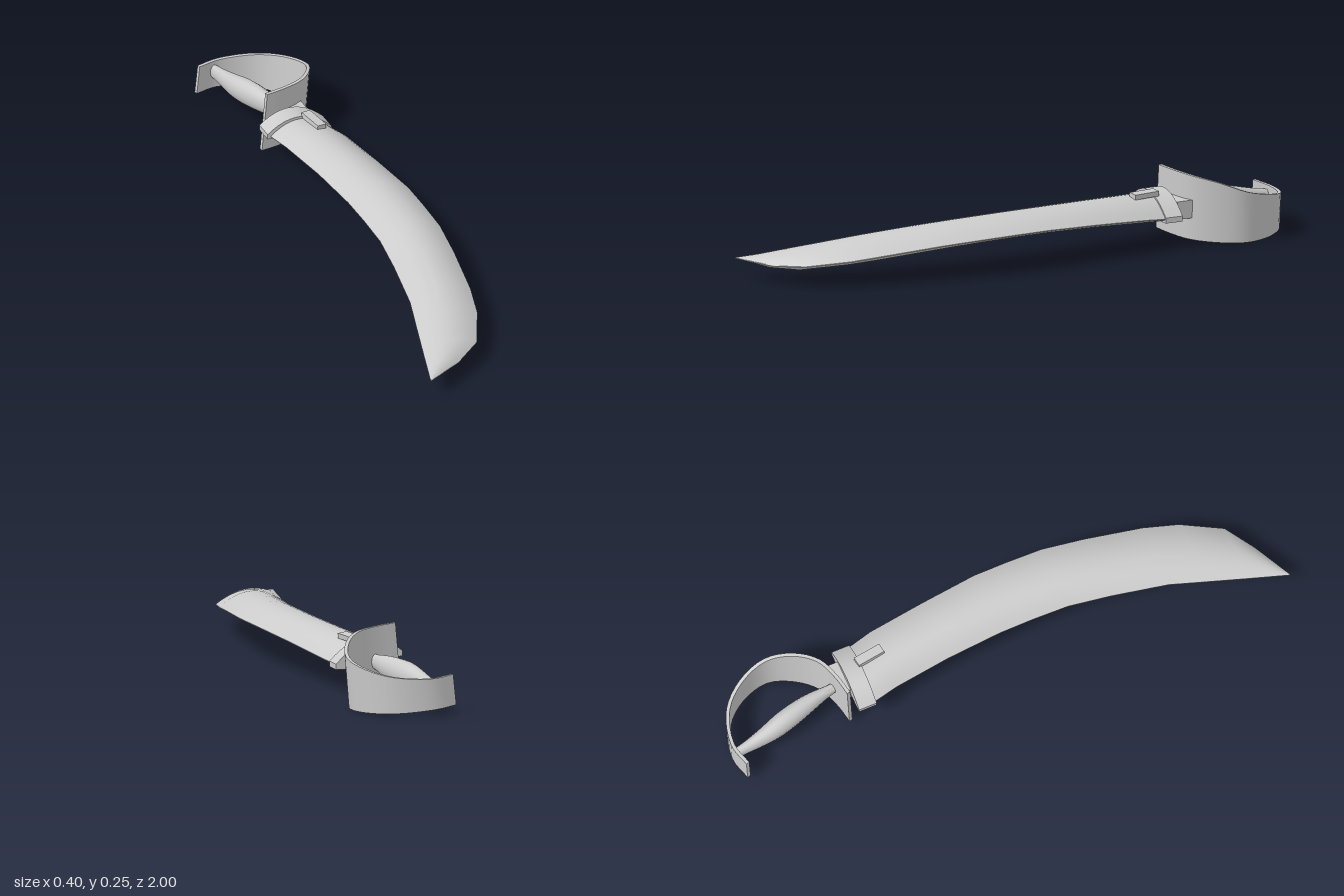
import * as THREE from 'three';
import { toCreasedNormals } from 'three/addons/utils/BufferGeometryUtils.js';

const material = new THREE.MeshStandardMaterial({ color: 0xcccccc, side: THREE.DoubleSide });

// Skin a row of closed cross-sections, with strip caps at both ends
function loft(rings, crease = 0.6) {
  const n = rings[0].length, last = (rings.length - 1) * n, index = [];
  for (let i = 0; i < rings.length - 1; i++) {
    for (let j = 0; j < n; j++) {
      const a = i * n + j, b = i * n + (j + 1) % n;
      index.push(a, b, b + n, a, b + n, a + n);
    }
  }
  for (let k = 0; k < n / 2 - 1; k++) {
    const [a, b, c, d] = [k, k + 1, n - 2 - k, n - 1 - k];
    index.push(a, c, b, a, d, c);
    index.push(last + a, last + b, last + c, last + a, last + c, last + d);
  }
  const geometry = new THREE.BufferGeometry();
  geometry.setAttribute('position', new THREE.Float32BufferAttribute(rings.flat(2), 3));
  geometry.setIndex(index);
  return toCreasedNormals(geometry, crease);
}

// Lens section at z: left edge, right edge, crown height, belly depth, edge thickness.
// The belly is deepest toward the right edge.
function lensRing(z, lx, ly, rx, ry, crown, sag, edge, steps = 12) {
  const rise = crown - (ly + ry) / 2, bottom = [], top = [];
  for (let i = 0; i <= steps; i++) {
    const s = i / steps;
    const x = lx + (rx - lx) * s;
    const chord = ly + (ry - ly) * s;
    bottom.push([x, chord - sag * Math.sin(Math.PI * s ** 2.5) - edge, z]);
    top.unshift([x, chord + rise * 4 * s * (1 - s), z]);
  }
  return [...bottom, ...top];
}

function add(group, name, geometry) {
  const mesh = new THREE.Mesh(geometry, material);
  mesh.name = name;
  group.add(mesh);
  return mesh;
}

export function createModel() {
  const group = new THREE.Group();
  group.name = 'curvedSabre';

  // Blade stations: z, left x, left y, right x, right y, crown y, belly depth
  const stations = [
    [-0.55, -0.09, 0.136, 0.13, 0.105, 0.174, 0.016],
    [-0.48, -0.088, 0.137, 0.137, 0.11, 0.177, 0.018],
    [-0.4, -0.07, 0.138, 0.155, 0.119, 0.181, 0.02],
    [-0.2, -0.045, 0.143, 0.178, 0.131, 0.187, 0.018],
    [0, -0.03, 0.145, 0.198, 0.139, 0.19, 0.018],
    [0.12, -0.028, 0.143, 0.199, 0.138, 0.189, 0.018],
    [0.25, -0.03, 0.14, 0.197, 0.135, 0.186, 0.019],
    [0.4, -0.05, 0.132, 0.177, 0.126, 0.176, 0.022],
    [0.6, -0.085, 0.119, 0.143, 0.108, 0.156, 0.024],
    [0.72, -0.12, 0.106, 0.111, 0.094, 0.138, 0.022],
    [0.86, -0.16, 0.09, 0.042, 0.078, 0.113, 0.02],
    [0.93, -0.18, 0.083, -0.06, 0.069, 0.092, 0.012],
    [1, -0.2, 0.076, -0.196, 0.076, 0.077, 0],
  ];
  add(group, 'blade', loft(stations.map((s) => lensRing(...s, 0.002))));

  // Collar wrapped over the blade root
  add(group, 'collar', loft([-0.55, -0.485].map(
    (z) => lensRing(z, -0.1, 0.147, 0.14, 0.114, 0.186, 0.006, 0.019))));

  // Small tab lying along the blade in front of the collar
  const tab = add(group, 'collarTab', new THREE.BoxGeometry(0.034, 0.018, 0.1));
  tab.position.set(0.055, 0.184, -0.447);
  tab.rotation.set(0, 0.14, -0.1);

  // Tang block between collar and guard, its rear following the guard
  const tangShape = new THREE.Shape([[-0.03, 0.54], [0.083, 0.54], [0.083, 0.618], [-0.03, 0.58]]
    .map(([x, y]) => new THREE.Vector2(x, y)));
  const tang = add(group, 'tang', new THREE.ExtrudeGeometry(tangShape, { depth: 0.064, bevelEnabled: false })
    .rotateX(-Math.PI / 2));
  tang.position.set(0, 0.094, 0);
  tang.rotation.z = -0.08;

  // Knuckle guard: x and z at the lower edge, height of the upper edge
  const path = [
    [-0.083, -0.573, 0.25], [-0.01, -0.588, 0.245], [0.07, -0.62, 0.236],
    [0.133, -0.69, 0.215], [0.166, -0.78, 0.18], [0.138, -0.88, 0.155],
    [0.068, -0.958, 0.137], [-0.05, -0.992, 0.131], [-0.137, -0.972, 0.138],
  ];
  const low = new THREE.CatmullRomCurve3(path.map(([x, z]) => new THREE.Vector3(x, 0.018 - 0.1 * x, z)));
  const high = new THREE.CatmullRomCurve3(path.map(([x, z, y]) => new THREE.Vector3(x + 0.08 * y, y, z)));
  const up = new THREE.Vector3(0, 1, 0), rings = [];
  for (let i = 0; i <= 32; i++) {
    const t = i / 32;
    const out = low.getTangent(t).setY(0).normalize().cross(up).multiplyScalar(0.006);
    const a = low.getPoint(t), b = high.getPoint(t);
    rings.push([
      a.clone().sub(out).toArray(), b.clone().sub(out).toArray(),
      b.clone().add(out).toArray(), a.clone().add(out).toArray(),
    ]);
  }
  add(group, 'knuckleGuard', loft(rings));

  // Grip: swollen, slightly bowed spindle, taller than wide
  const spine = new THREE.CatmullRomCurve3([
    new THREE.Vector3(0.016, 0.124, -0.595), new THREE.Vector3(0.002, 0.119, -0.68),
    new THREE.Vector3(-0.024, 0.11, -0.79), new THREE.Vector3(-0.045, 0.1, -0.88),
    new THREE.Vector3(-0.062, 0.09, -0.99),
  ]);
  const gripRings = [];
  for (let i = 0; i <= 16; i++) {
    const t = i / 16, p = spine.getPoint(t), ring = [];
    const swell = Math.sin(Math.PI * t) ** 1.5;
    for (let j = 0; j < 16; j++) {
      const angle = -j / 16 * Math.PI * 2;
      ring.push([
        p.x + (0.016 + 0.021 * swell) * Math.cos(angle),
        p.y + (0.026 + 0.022 * swell) * Math.sin(angle),
        p.z,
      ]);
    }
    gripRings.push(ring);
  }
  add(group, 'grip', loft(gripRings, 0.9));

  return group;
}
